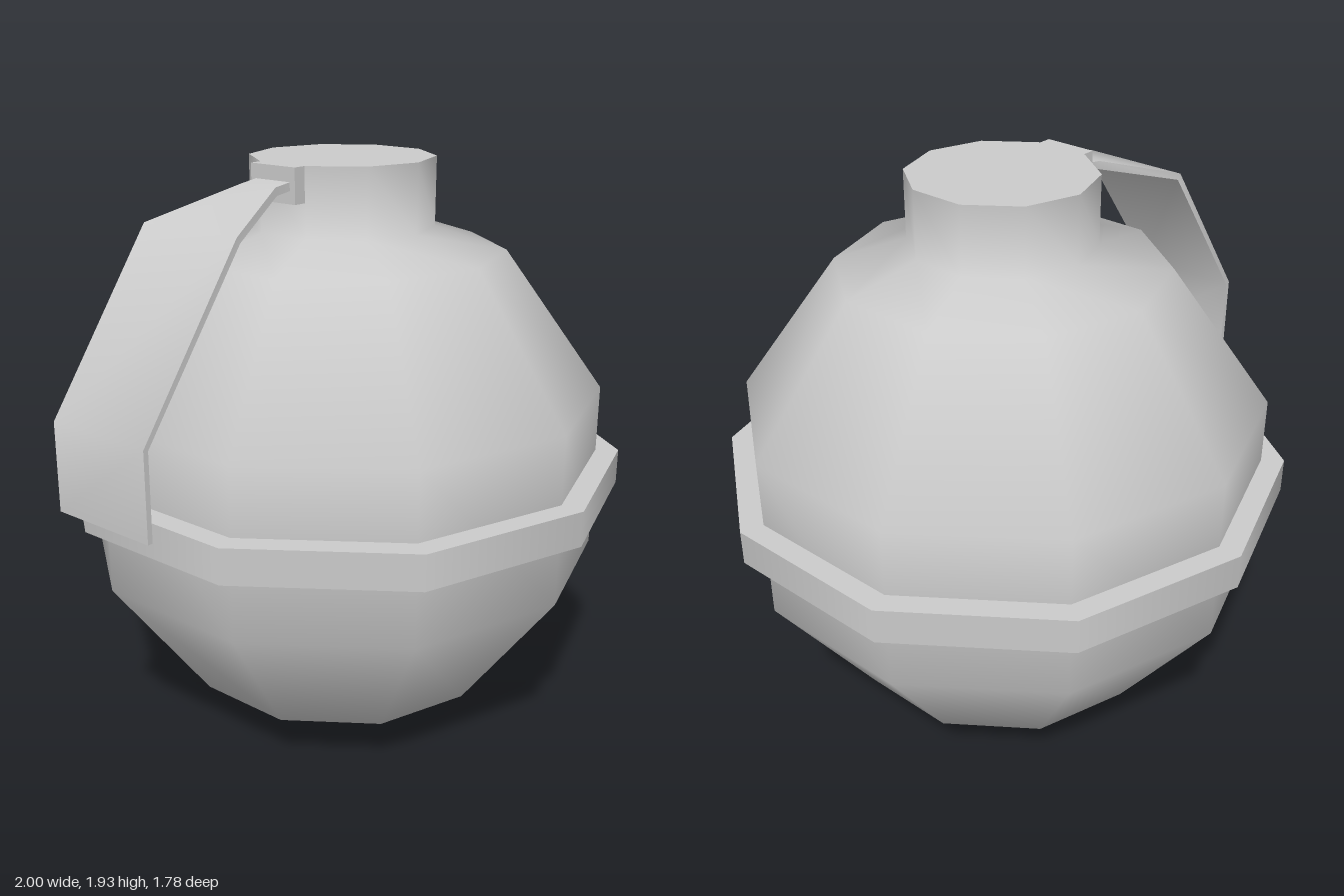
import * as THREE from 'three';
import { toCreasedNormals } from 'three/addons/utils/BufferGeometryUtils.js';

const SIDES = 10;

// Loft rectangular sections [outward, topY, halfWidth, normalX, normalY, thickness] into a closed strip
function loftStrip(sections) {
  const pos = [], idx = [];
  for (const [u, y, w, nx, ny, t] of sections) {
    pos.push(u, y, -w, u, y, w, u - nx * t, y - ny * t, w, u - nx * t, y - ny * t, -w);
  }
  for (let i = 0; i < sections.length - 1; i++) {
    for (let j = 0; j < 4; j++) {
      const a = i * 4 + j, b = i * 4 + (j + 1) % 4;
      idx.push(a, b, b + 4, a, b + 4, a + 4);
    }
  }
  const e = (sections.length - 1) * 4;
  idx.push(0, 3, 2, 0, 2, 1, e, e + 1, e + 2, e, e + 2, e + 3);
  const g = new THREE.BufferGeometry();
  g.setAttribute('position', new THREE.Float32BufferAttribute(pos, 3));
  g.setIndex(idx);
  return toCreasedNormals(g, 0.9);
}

export function createModel() {
  const model = new THREE.Group();
  const mat = new THREE.MeshStandardMaterial({ color: 0xcccccc });
  const add = (parent, name, geometry, x = 0, y = 0, z = 0) => {
    const mesh = new THREE.Mesh(geometry, mat);
    mesh.name = name;
    mesh.position.set(x, y, z);
    parent.add(mesh);
    return mesh;
  };

  // Everything is arranged around the body's axis
  const core = new THREE.Group();
  core.name = 'core';
  core.position.x = 0.063;
  model.add(core);

  // Ten-sided round body running up into the neck
  const profile = [[0, 0.002], [0.53, 0.18], [0.86, 0.63], [0.86, 1.185], [0.53, 1.64], [0.298, 1.715], [0.298, 1.935]]
    .map(([r, y]) => new THREE.Vector2(r, y));
  add(core, 'body', new THREE.LatheGeometry(profile, SIDES, Math.PI / 2));
  add(core, 'neckCap', new THREE.CircleGeometry(0.298, SIDES).rotateX(-Math.PI / 2), 0, 1.935);

  // Flat band around the middle
  add(core, 'band', new THREE.CylinderGeometry(0.936, 0.936, 0.115, SIDES, 1, false, Math.PI / 2), 0, 0.9075);

  // Lever and its bracket, on the middle of one neck face
  const leverGroup = new THREE.Group();
  leverGroup.name = 'leverAssembly';
  leverGroup.rotation.y = Math.PI * 1.1;
  core.add(leverGroup);
  add(leverGroup, 'bracket', new THREE.BoxGeometry(0.07, 0.11, 0.176), 0.293, 1.88);
  add(leverGroup, 'lever', loftStrip([
    [0.30, 1.894, 0.068, 0, 1, 0.026],
    [0.39, 1.882, 0.068, 0.2, 0.98, 0.026],
    [0.68, 1.79, 0.187, 0.59, 0.81, 0.022],
    [1.055, 1.275, 0.187, 0.95, 0.31, 0.018],
    [1.055, 1.0, 0.187, 1, 0, 0.017],
  ]));

  return model;
}
